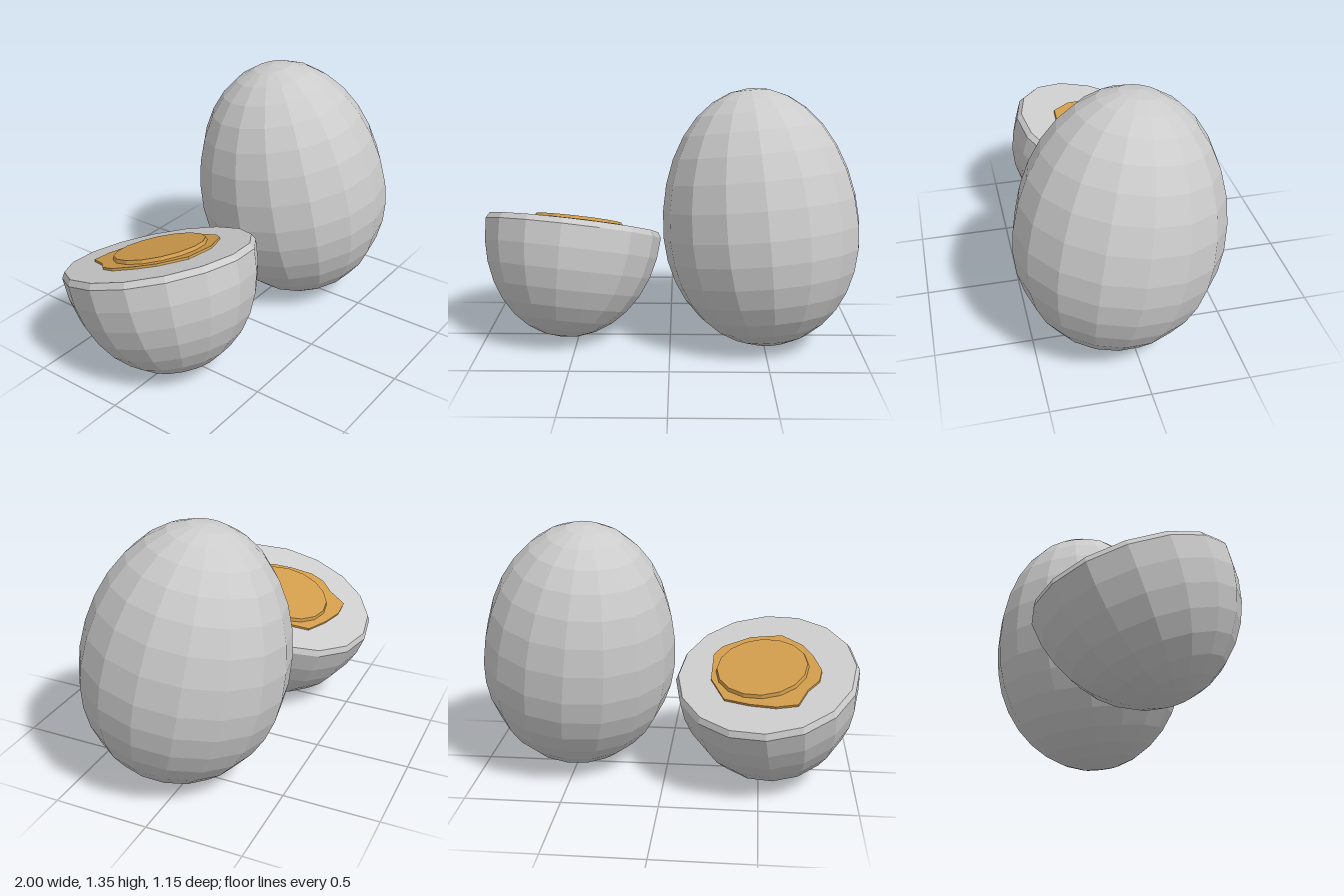
import * as THREE from 'three';

const SIDES = 16;
const white = new THREE.MeshStandardMaterial({ color: 0xcccccc, flatShading: true });
const orange = new THREE.MeshStandardMaterial({ color: 0xd09c4c, flatShading: true });

// Egg profile from the blunt end upward: unit radius, separate heights below and above the girth
function eggProfile(low, high, rings, steps) {
  const points = [];
  for (let i = 0; i <= steps; i++) {
    const a = (Math.PI * i) / rings;
    const c = -Math.cos(a);
    points.push(new THREE.Vector2(i % rings === 0 ? 0 : Math.sin(a), c < 0 ? c * low : c * high));
  }
  return points;
}

function addMesh(parent, name, geometry, material) {
  const mesh = new THREE.Mesh(geometry, material);
  mesh.name = name;
  parent.add(mesh);
  return mesh;
}

export function createModel() {
  const model = new THREE.Group();
  model.name = 'eggs';

  // Whole egg, leaning slightly backward
  const whole = addMesh(model, 'wholeEgg',
    new THREE.LatheGeometry(eggProfile(0.612, 0.746, 16, 16), SIDES).scale(0.517, 1, 0.525), white);
  whole.position.set(0.48, 0.61, 0.045);
  whole.rotation.set(-0.155, 0, 0.095);

  // Half egg: origin at the centre of the cut, local y out of the cut
  const half = new THREE.Group();
  half.name = 'halfEgg';
  half.position.set(-0.525, 0.605, -0.1);
  half.rotation.set(-0.32, 0, -0.106);
  model.add(half);

  // Rounded bottom, small bevel at the rim, flat cut face
  const profile = eggProfile(0.587, 0.587, 16, 8);
  profile.forEach((p) => { p.y -= 0.03; });
  profile.push(new THREE.Vector2(0.965, 0), new THREE.Vector2(0, 0));
  addMesh(half, 'halfEggWhite', new THREE.LatheGeometry(profile, SIDES).scale(0.478, 1, 0.51), white);

  // Uneven yolk edge on the cut face, as x, z pairs
  const edge = [
    [-0.16, -0.3], [-0.05, -0.31], [0.08, -0.28], [0.21, -0.23], [0.285, -0.06],
    [0.28, 0.15], [0.235, 0.215], [0.085, 0.285], [-0.085, 0.285], [-0.195, 0.185],
    [-0.245, 0.09], [-0.285, -0.035], [-0.27, -0.12], [-0.21, -0.19],
  ];
  const outline = new THREE.Shape(edge.map(([x, z]) => new THREE.Vector2(x, -z)));
  addMesh(half, 'yolkEdge',
    new THREE.ExtrudeGeometry(outline, { depth: 0.022, bevelEnabled: false })
      .rotateX(-Math.PI / 2).translate(0, -0.01, 0), orange);

  // Raised round yolk
  const yolk = addMesh(half, 'yolk', new THREE.CylinderGeometry(0.235, 0.25, 0.04, SIDES), orange);
  yolk.position.set(0.02, 0.01, 0);

  return model;
}
